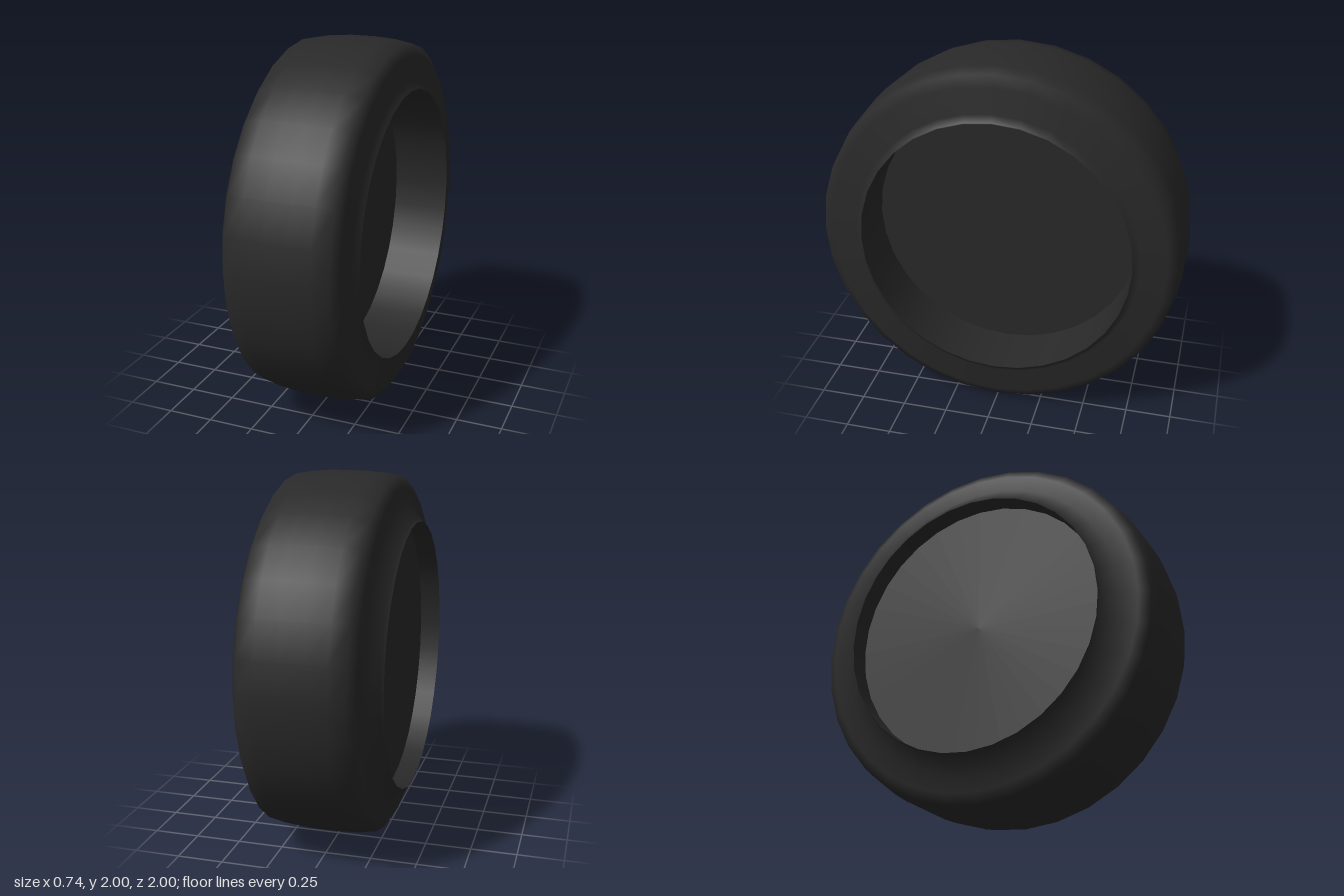
import * as THREE from 'three';

const SEGMENTS = 32;

export function createModel() {
  const wheel = new THREE.Group();
  wheel.name = 'wheel';
  const rubber = new THREE.MeshStandardMaterial({ color: 0x292929 });
  rubber.name = 'dark rubber';

  // Spins a [radius, x] profile around the axle, which runs along x
  function spin(name, profile) {
    const points = profile.map(([r, x]) => new THREE.Vector2(r, x));
    const geometry = new THREE.LatheGeometry(points, SEGMENTS);
    geometry.rotateZ(-Math.PI / 2);
    const mesh = new THREE.Mesh(geometry, rubber);
    mesh.name = name;
    mesh.position.y = 1;
    wheel.add(mesh);
  }

  // Sloping inner collar, sidewalls and tread with rounded shoulders, in one smooth skin
  spin('tyre', [
    [0.735, -0.37], [0.745, -0.355], [0.83, -0.288], [0.92, -0.285], [0.975, -0.25],
    [0.992, -0.16], [1, -0.04], [1, 0.09], [0.992, 0.21], [0.975, 0.303],
    [0.92, 0.335], [0.78, 0.338], [0.745, 0.367], [0.74, 0.367],
  ]);

  // Deep recess on the outer side
  spin('outerRimWall', [[0.74, 0.367], [0.74, 0.045]]);
  spin('outerDisc', [[0.74, 0.045], [0, 0.045]]);

  // Shallow recess on the inner side
  spin('innerDisc', [[0, -0.255], [0.735, -0.255]]);
  spin('innerRimWall', [[0.735, -0.255], [0.735, -0.37]]);

  return wheel;
}
